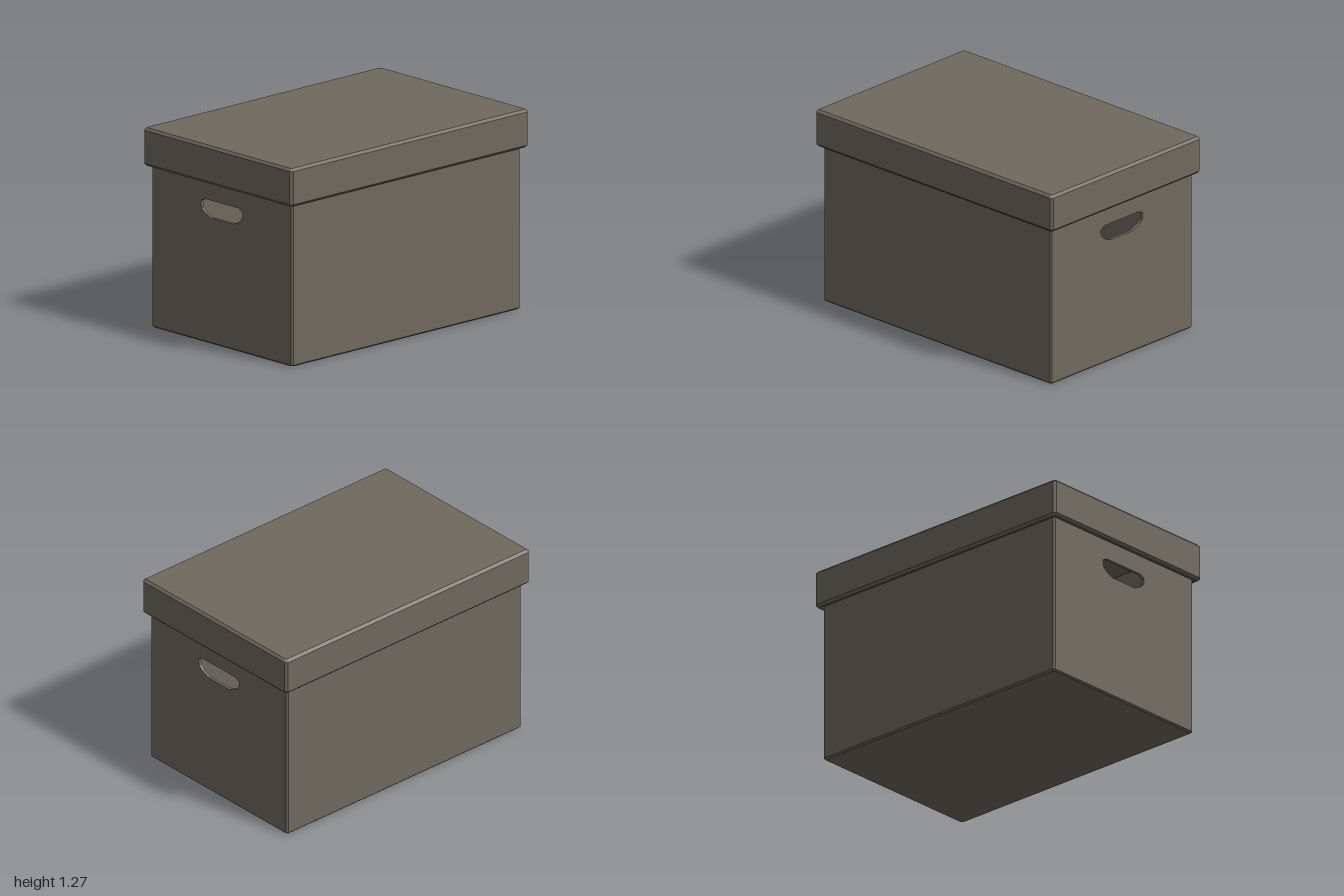
import * as THREE from 'three';

const material = new THREE.MeshStandardMaterial({ color: 0x6f685e, flatShading: true });

// Rectangle with cut corners, counter-clockwise seen from above
function ring([hx, hz, c, y]) {
  return [
    [hx, hz - c], [hx, c - hz], [hx - c, -hz], [c - hx, -hz],
    [-hx, c - hz], [-hx, hz - c], [c - hx, hz], [hx - c, hz],
  ].map(([x, z]) => [x, y, z]);
}

// Closed skin through a row of rings; isOpen(row, side) leaves a face out
function shell(profile, isOpen = () => false) {
  const rings = profile.map(ring);
  const positions = [];
  const tri = (a, b, c) => positions.push(...a, ...b, ...c);
  for (let i = 0; i < rings.length - 1; i++) {
    for (let j = 0; j < 8; j++) {
      if (isOpen(i, j)) continue;
      const k = (j + 1) % 8;
      const lo = rings[i], hi = rings[i + 1];
      tri(lo[j], lo[k], hi[k]);
      tri(lo[j], hi[k], hi[j]);
    }
  }
  const first = rings[0], last = rings[rings.length - 1];
  for (let j = 1; j < 7; j++) {
    tri(first[0], first[j + 1], first[j]);
    tri(last[0], last[j], last[j + 1]);
  }
  const geometry = new THREE.BufferGeometry();
  geometry.setAttribute('position', new THREE.Float32BufferAttribute(positions, 3));
  geometry.computeVertexNormals();
  return geometry;
}

function addPart(group, name, geometry) {
  const mesh = new THREE.Mesh(geometry, material);
  mesh.name = name;
  group.add(mesh);
  return mesh;
}

export function createModel() {
  const group = new THREE.Group();
  group.name = 'storageBox';
  const hx = 0.625, hz = 0.96, bevel = 0.01, wall = 0.02, rim = 1.24;

  // Hollow body; its front and back walls are the separate panels below
  const body = [
    [hx - bevel, hz - bevel, bevel, 0],
    [hx, hz, bevel, bevel],
    [hx, hz, bevel, rim],
    [hx - wall, hz - wall, 0.005, rim],
    [hx - wall, hz - wall, 0.005, wall],
  ];
  addPart(group, 'body', shell(body, (row, side) =>
    (row === 1 || row === 3) && (side === 2 || side === 6)));

  // End panels with a hand hole
  const w = hx - bevel;
  const panel = new THREE.Shape([
    [-w, bevel], [w, bevel], [w, rim], [-w, rim],
  ].map(([x, y]) => new THREE.Vector2(x, y)));
  const half = [[0.1, 0.8], [0.155, 0.825], [0.18, 0.85], [0.186, 0.89], [0.153, 0.91]];
  const outline = [...half, ...half.map(([x, y]) => [-x, y]).reverse()];
  panel.holes.push(new THREE.Path(outline.map(([x, y]) => new THREE.Vector2(x, y))));
  const panelGeometry = new THREE.ExtrudeGeometry(panel, { depth: wall, bevelEnabled: false });
  panelGeometry.translate(0, 0, hz - wall);
  addPart(group, 'frontPanel', panelGeometry);
  addPart(group, 'backPanel', panelGeometry).rotation.y = Math.PI;

  // Lid: inner ceiling, down the inside, round the lip, up the outside
  addPart(group, 'lid', shell([
    [0.632, 0.968, 0.005, 1.245],
    [0.632, 0.968, 0.005, 1.025],
    [0.645, 0.985, 0.008, 1.025],
    [0.661, 1, 0.016, 1.041],
    [0.661, 1, 0.016, 1.251],
    [0.645, 0.985, 0.008, 1.267],
  ]));

  return group;
}
